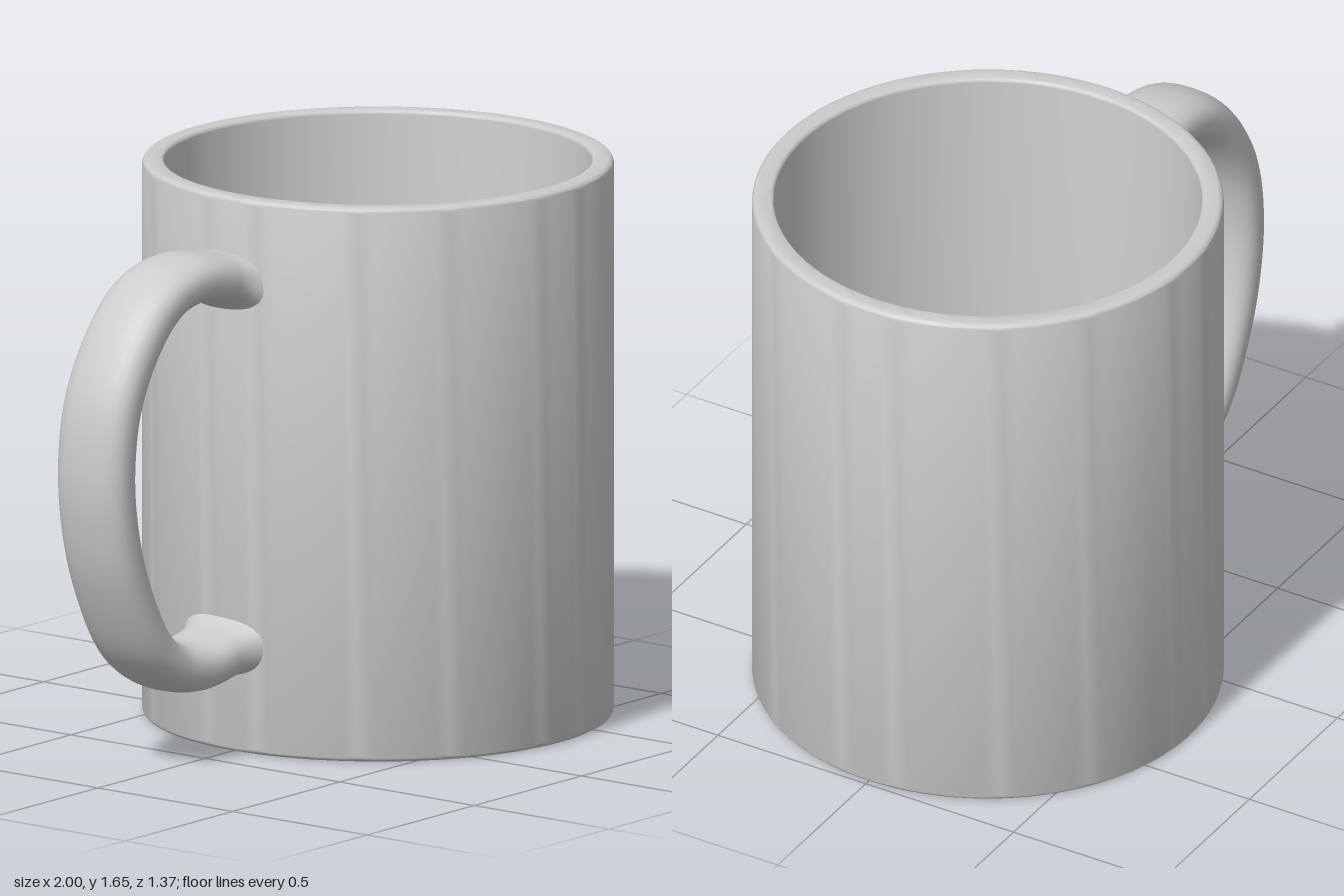
import * as THREE from 'three';
import { toCreasedNormals } from 'three/addons/utils/BufferGeometryUtils.js';
import { ParametricGeometry } from 'three/addons/geometries/ParametricGeometry.js';

const CENTRE_X = 0.306, RADIUS = 0.686, INNER = 0.622, HEIGHT = 1.65;

// Points of a circular arc for a rounded profile corner
function arc(cx, cy, r, from, to, steps = 5) {
  return Array.from({ length: steps + 1 }, (_, i) => {
    const a = from + ((to - from) * i) / steps;
    return new THREE.Vector2(cx + r * Math.cos(a), cy + r * Math.sin(a));
  });
}

// Cup: recessed underside, outer wall, rounded rim, inner wall and filleted floor
function createCup(material) {
  const H = Math.PI / 2, floorY = 0.13, fillet = 0.09;
  const profile = [
    new THREE.Vector2(0, 0.08),
    new THREE.Vector2(0.57, 0.08),
    ...arc(RADIUS - 0.016, 0.016, 0.016, -H, 0),
    ...arc(RADIUS - 0.018, HEIGHT - 0.018, 0.018, 0, H),
    ...arc(INNER + 0.012, HEIGHT - 0.012, 0.012, H, 2 * H),
    ...arc(INNER - fillet, floorY + fillet, fillet, 0, -H, 8),
    new THREE.Vector2(0, floorY),
  ];
  const cup = new THREE.Mesh(toCreasedNormals(new THREE.LatheGeometry(profile, 96), 0.55), material);
  cup.name = 'cup';
  cup.position.x = CENTRE_X;
  return cup;
}

// Handle: a flattened rounded section swept along a D-shaped path, flared at both roots
function createHandle(material) {
  const path = new THREE.CatmullRomCurve3([
    [-0.335, 1.395], [-0.42, 1.415], [-0.57, 1.435], [-0.70, 1.397], [-0.81, 1.29],
    [-0.90, 1.12], [-0.93, 0.93], [-0.915, 0.75], [-0.865, 0.575], [-0.76, 0.38],
    [-0.65, 0.3], [-0.54, 0.28], [-0.42, 0.3], [-0.335, 0.315],
  ].map(([x, y]) => new THREE.Vector3(x, y, -0.036 + 0.045 * (x + 0.38))));

  const round = (c) => Math.sign(c) * Math.abs(c) ** 0.82;
  const sweep = (u, v, target) => {
    const p = path.getPointAt(v), t = path.getTangentAt(v), a = u * Math.PI * 2;
    const flare = Math.max(0, Math.min(1, (p.x + 0.44) / 0.105)) ** 2;
    const inPlane = (0.073 + 0.025 * flare) * round(Math.cos(a));
    const across = (0.125 + 0.05 * flare) * round(Math.sin(a));
    target.set(p.x - t.y * inPlane, p.y + t.x * inPlane, p.z + across);
  };
  const handle = new THREE.Mesh(new ParametricGeometry(sweep, 32, 110), material);
  handle.name = 'handle';
  return handle;
}

export function createModel() {
  const material = new THREE.MeshStandardMaterial({ color: 0xcccccc });
  const mug = new THREE.Group();
  mug.name = 'mug';
  mug.add(createCup(material), createHandle(material));
  return mug;
}
